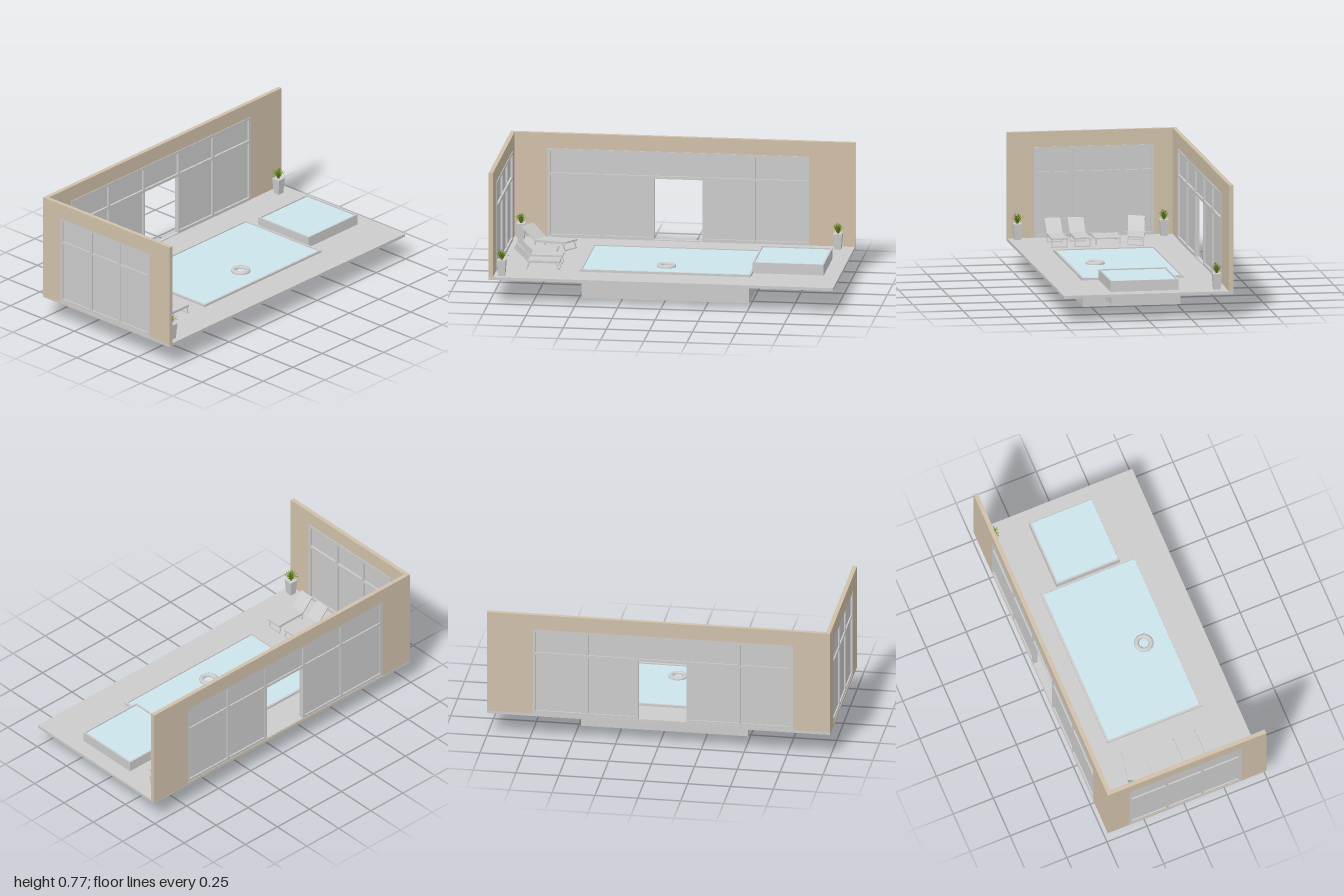
import * as THREE from 'three';
import { mergeGeometries } from 'three/addons/utils/BufferGeometryUtils.js';

const grey = new THREE.MeshStandardMaterial({ color: 0xcccccc });
const tan = new THREE.MeshStandardMaterial({ color: 0xd0c0aa });
const blue = new THREE.MeshStandardMaterial({ color: 0xcce4ea });
const green = new THREE.MeshStandardMaterial({ color: 0x64861a, side: THREE.DoubleSide });

function add(parent, name, geometry, material = grey) {
  const mesh = new THREE.Mesh(geometry, material);
  mesh.name = name;
  parent.add(mesh);
  return mesh;
}

// box given by its limits on each axis
function box(x0, x1, y0, y1, z0, z1) {
  return new THREE.BoxGeometry(x1 - x0, y1 - y0, z1 - z0)
    .translate((x0 + x1) / 2, (y0 + y1) / 2, (z0 + z1) / 2);
}

function rect(Type, [a0, a1, b0, b1]) {
  return new Type([[a0, b0], [a1, b0], [a1, b1], [a0, b1]].map(p => new THREE.Vector2(...p)));
}

// rectangle with rectangular holes, extruded along +z
function plate(outer, holes, depth) {
  const shape = rect(THREE.Shape, outer);
  shape.holes = holes.map(h => rect(THREE.Path, h));
  return new THREE.ExtrudeGeometry(shape, { depth, bevelEnabled: false });
}

// the same plate lying flat, limits given as x0, x1, z0, z1
const slab = (outer, holes, y0, y1) =>
  plate(outer, holes, y1 - y0).rotateX(Math.PI / 2).translate(0, y1, 0);

const inset = ([a, b, c, d], t) => [a + t, b - t, c + t, d - t];

// wall with its glazing, in the xy plane with its inner face at z = 0
function glazedWall(name, span, opening, mullions, openBay) {
  const group = new THREE.Group();
  group.name = name;
  const Y0 = 0.157, Y1 = 0.685, B = 0.008;
  add(group, name + 'Panel', plate([...span, 0.14, 0.775], [[...opening, Y0, Y1]], 0.025).translate(0, 0, -0.025), tan);
  const edges = [opening[0] + B, ...mullions, opening[1] - B];
  const holes = [], panes = [];
  for (let i = 0; i < edges.length - 1; i++) {
    const a = edges[i] + B, b = edges[i + 1] - B;
    const open = i === openBay;
    holes.push([a, b, open ? 0.162 : 0.175, 0.524], [a, b, 0.54, 0.669]);
    panes.push(box(a, b, 0.54, 0.669, -0.014, -0.008));
    if (!open) panes.push(box(a, b, 0.175, 0.524, -0.014, -0.008));
  }
  add(group, name + 'WindowFrame', plate([...opening, Y0, Y1], holes, 0.026).translate(0, 0, -0.022));
  add(group, name + 'Glass', mergeGeometries(panes));
  return group;
}

// open basin below the deck
function basin(parent, name, r, y0, y1) {
  add(parent, name + 'Walls', slab(r, [inset(r, 0.006)], y0, y1));
  add(parent, name + 'Floor', slab(inset(r, 0.005), [], y0, y0 + 0.006));
}

// lounger centred on its own origin, head towards -x, placed by a matrix
function lounger(matrix) {
  const group = new THREE.Group();
  group.name = 'lounger';
  const W = 0.046, T = 0.005;
  const put = (name, geo) => add(group, name, geo.applyMatrix4(matrix));
  put('seat', box(-0.055, 0.133, 0.203, 0.212, -W, W));
  const rise = 0.079, run = 0.078;
  put('backrest', box(-Math.hypot(rise, run), 0, 0, 0.008, -W, W)
    .rotateZ(-Math.atan2(rise, run)).translate(-0.055, 0.204, 0));
  const legs = [];
  for (const [top, foot] of [[0.112, 0.126], [-0.045, -0.06]]) {
    for (const s of [-1, 1]) {
      const z = s * (W - T / 2);
      const leg = box(-T / 2, T / 2, 0.157, 0.204, z - T / 2, z + T / 2);
      const p = leg.attributes.position;
      for (let i = 0; i < p.count; i++) {
        p.setX(i, p.getX(i) + (p.getY(i) > 0.18 ? top : foot));
      }
      legs.push(leg);
    }
    legs.push(box(foot - T / 2, foot + T / 2, 0.157, 0.163, -W, W));
  }
  for (const s of [-1, 1]) {
    const z = s * (W - T / 2);
    legs.push(box(-0.055, 0.13, 0.198, 0.204, z - T / 2, z + T / 2));
  }
  put('legFrames', mergeGeometries(legs));
  return group;
}

// one tapering leaf that arches outward
function leaf(angle, lean, length) {
  const geo = new THREE.PlaneGeometry(1, 1, 2, 5).translate(0, 0.5, 0);
  const p = geo.attributes.position;
  for (let i = 0; i < p.count; i++) {
    const t = p.getY(i), side = p.getX(i);
    const w = 0.007 * (1 - t) * (0.7 + 1.2 * t) + 0.0004;
    p.setXYZ(i, side * w, length * (t - 0.55 * lean * t * t),
      0.004 + lean * length * (0.25 * t + 0.5 * t * t) + Math.abs(side) * w * 0.4);
  }
  geo.computeVertexNormals();
  return geo.rotateY(angle);
}

function plant(x, z) {
  const group = new THREE.Group();
  group.name = 'pottedPlant';
  add(group, 'pot', new THREE.CylinderGeometry(0.037, 0.027, 0.093, 4, 1).toNonIndexed()
    .rotateY(Math.PI / 4).translate(0, 0.2035, 0)).geometry.computeVertexNormals();
  const leaves = [];
  for (let i = 0; i < 34; i++) {
    leaves.push(leaf(i * 2.4, 0.1 + 0.85 * i / 33, 0.075 - 0.012 * ((i * 7) % 5) / 4));
  }
  add(group, 'leaves', mergeGeometries(leaves).translate(0, 0.248, 0), green);
  group.position.set(x, 0, z);
  return group;
}

export function createModel() {
  const model = new THREE.Group();
  model.name = 'poolTerrace';

  // deck with openings for the two pools
  const pool = [-0.486, 0.486, -0.272, 0.298];
  const spa = [0.503, 0.895, -0.17, 0.2];
  add(model, 'deck', slab([-1, 1, -0.495, 0.495], [inset(pool, 0.006), inset(spa, 0.006)], 0.14, 0.157));

  // back wall with the open door bay, and side wall
  const back = glazedWall('backWall', [-1, 1], [-0.785, 0.735], [-0.468, -0.172, 0.125, 0.416], 2);
  back.position.z = -0.47;
  const side = glazedWall('sideWall', [-0.495, 0.47], [-0.34, 0.36], [-0.099, 0.122], -1);
  side.rotation.y = Math.PI / 2;
  side.position.x = -0.975;
  model.add(back, side);

  // main pool
  const poolRim = [-0.497, 0.497, -0.288, 0.306];
  basin(model, 'poolBasin', pool, 0, 0.15);
  add(model, 'poolRim', slab(poolRim, [inset(poolRim, 0.013)], 0.15, 0.17));
  add(model, 'poolWater', slab(inset(poolRim, 0.012), [], 0.159, 0.164), blue);

  // raised small pool
  const spaRim = [0.494, 0.908, -0.188, 0.208];
  basin(model, 'spaBasin', spa, 0.08, 0.15);
  add(model, 'spaSurround', slab(spaRim, [inset(spaRim, 0.01)], 0.15, 0.22));
  add(model, 'spaWater', slab(inset(spaRim, 0.009), [], 0.208, 0.213), blue);

  // floating ring
  add(model, 'floatRing', new THREE.TorusGeometry(0.042, 0.014, 12, 36)
    .rotateX(Math.PI / 2).translate(-0.013, 0.166, 0.143));

  // loungers, the last one turned and skewed
  for (const z of [0.114, 0.248]) {
    model.add(lounger(new THREE.Matrix4().makeTranslation(-0.747, 0, z)));
  }
  const turned = new THREE.Matrix4().makeBasis(
    new THREE.Vector3(1.01, 0, 0.19), new THREE.Vector3(0, 1, 0), new THREE.Vector3(-0.61, 0, 0.95));
  model.add(lounger(turned.setPosition(-0.742, 0, -0.218)));

  // low table
  const table = new THREE.Group();
  table.name = 'lowTable';
  add(table, 'tableTop', box(-0.83, -0.67, 0.19, 0.198, -0.122, 0.033));
  for (const x of [-0.825, -0.681]) {
    for (const z of [-0.117, 0.022]) add(table, 'tableLeg', box(x, x + 0.006, 0.157, 0.19, z, z + 0.006));
  }
  model.add(table);

  // potted plants
  model.add(plant(-0.93, -0.412), plant(0.91, -0.412), plant(-0.93, 0.443));
  return model;
}
